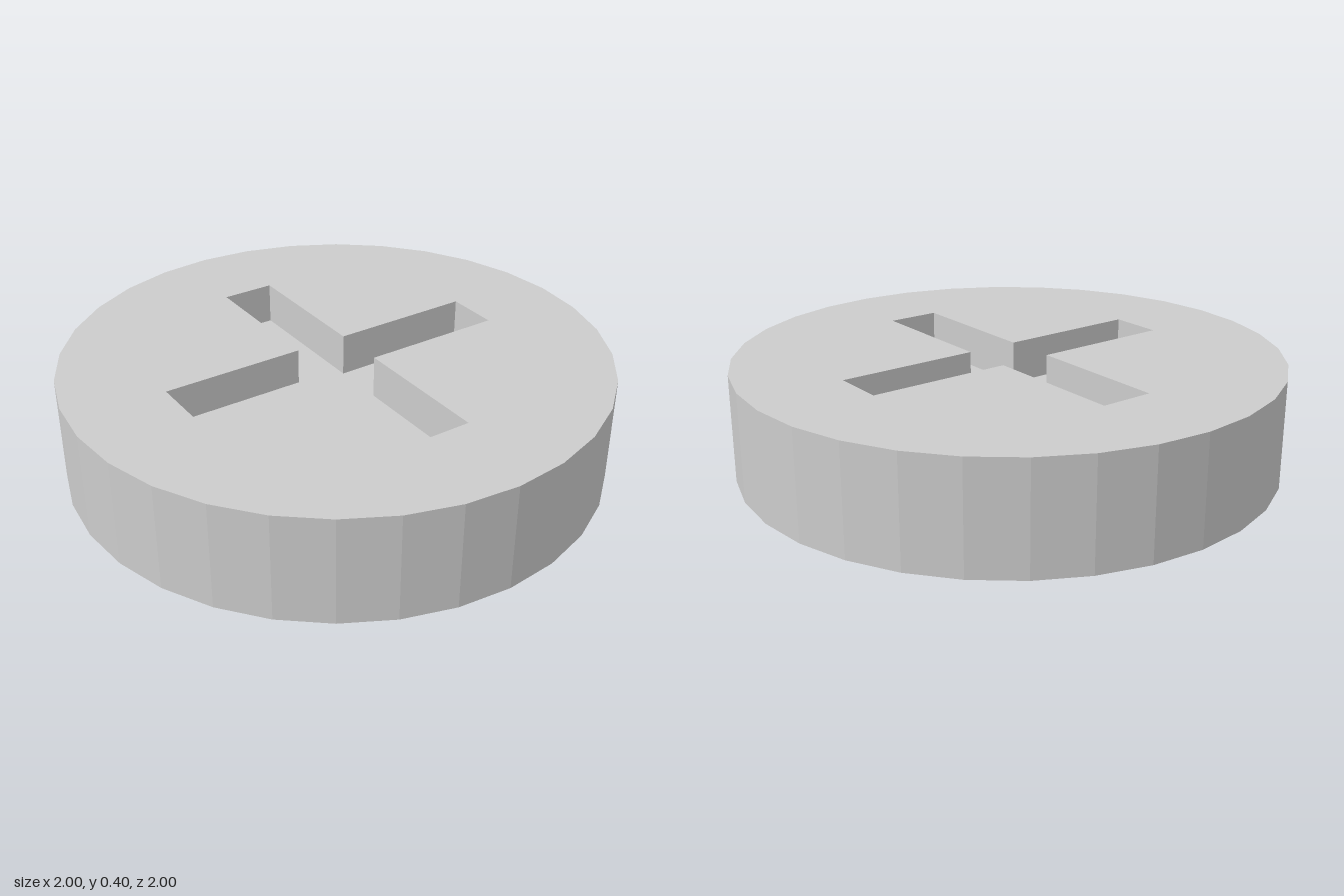
import * as THREE from 'three';

const RADIUS = 1, HEIGHT = 0.395, SIDES = 32;
const ARM = 0.633, HALF = 0.099, DEPTH = 0.158;

export function createModel() {
  const group = new THREE.Group();
  group.name = 'slottedDisc';
  const material = new THREE.MeshStandardMaterial({ color: 0xcccccc, flatShading: true });
  const add = (name, geometry, parent = group) => {
    const mesh = new THREE.Mesh(geometry, material);
    mesh.name = name;
    parent.add(mesh);
    return mesh;
  };

  // Counter-clockwise cross outline: three corners per arm, turned four times
  const cross = [];
  for (let i = 0; i < 4; i++) {
    for (const [x, y] of [[ARM, -HALF], [ARM, HALF], [HALF, HALF]]) {
      cross.push(new THREE.Vector2(x, y).rotateAround(new THREE.Vector2(), i * Math.PI / 2));
    }
  }

  // Faceted rim and closed underside
  add('rim', new THREE.CylinderGeometry(RADIUS, RADIUS, HEIGHT, SIDES, 1, true))
    .position.y = HEIGHT / 2;
  add('underside', new THREE.CircleGeometry(RADIUS, SIDES).rotateX(Math.PI / 2));

  // Top face with a cross-shaped opening
  const outline = [];
  for (let i = 0; i < SIDES; i++) {
    const a = i / SIDES * Math.PI * 2;
    outline.push(new THREE.Vector2(RADIUS * Math.cos(a), RADIUS * Math.sin(a)));
  }
  const topShape = new THREE.Shape(outline);
  topShape.holes.push(new THREE.Path(cross));
  add('topFace', new THREE.ShapeGeometry(topShape).rotateX(-Math.PI / 2)).position.y = HEIGHT;

  // Recess: floor and inward-facing walls
  const recess = new THREE.Group();
  recess.name = 'crossRecess';
  group.add(recess);
  add('recessFloor', new THREE.ShapeGeometry(new THREE.Shape(cross)).rotateX(-Math.PI / 2), recess)
    .position.y = HEIGHT - DEPTH;
  cross.forEach((a, i) => {
    const b = cross[(i + 1) % cross.length];
    const wall = add('recessWall', new THREE.PlaneGeometry(a.distanceTo(b), DEPTH), recess);
    wall.position.set((a.x + b.x) / 2, HEIGHT - DEPTH / 2, -(a.y + b.y) / 2);
    wall.rotation.y = Math.atan2(a.y - b.y, a.x - b.x);
  });

  return group;
}
